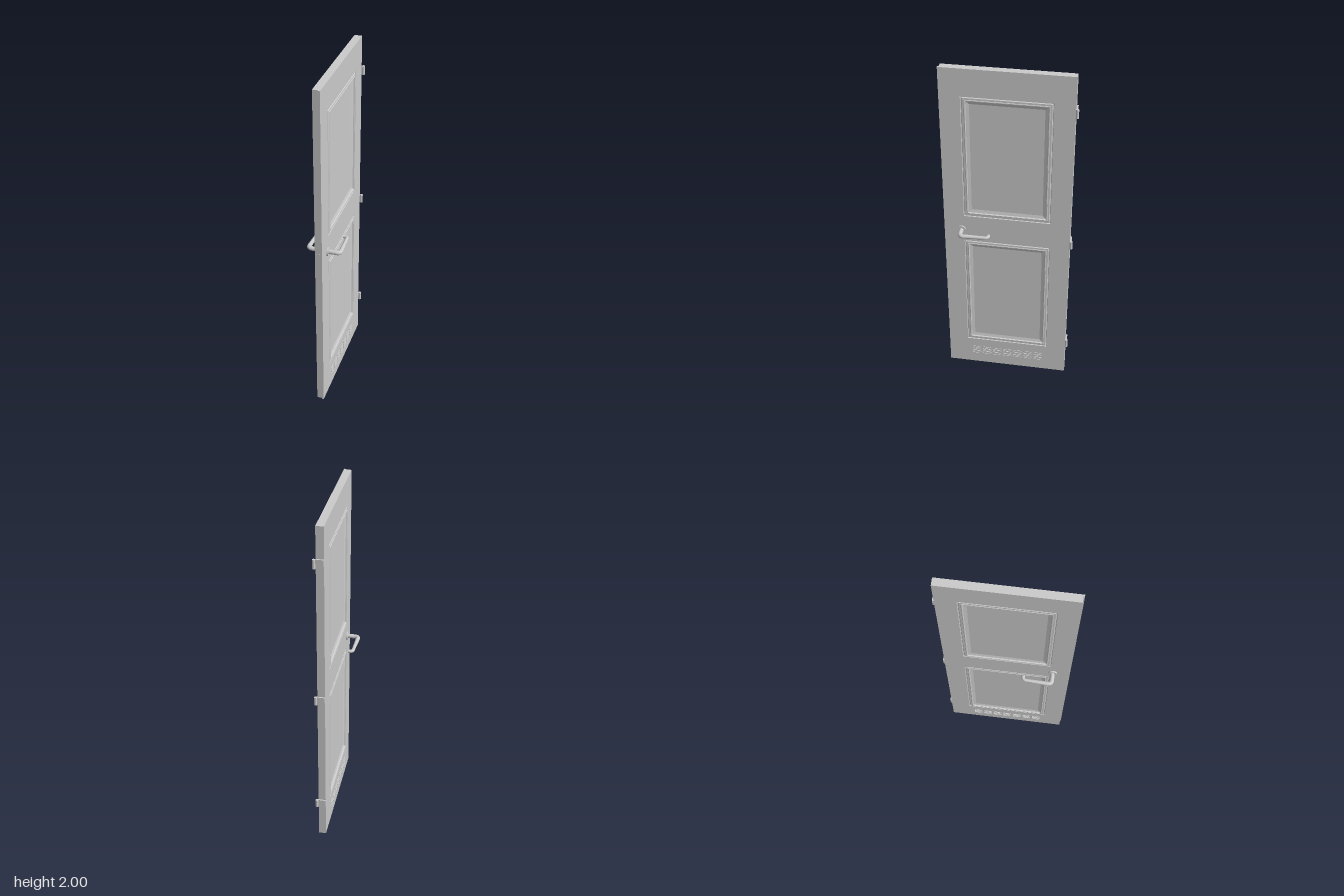
import * as THREE from 'three';

const H = 2, T = 0.042, Z0 = -0.35, Z1 = 0.357, ZC = 0.0065;
const PANEL_W = 0.488;
const PANELS = [[0.185, 0.934], [1.1, 1.845]]; // bottom and top of each panel
const smooth = new THREE.MeshStandardMaterial({ color: 0xcccccc });
const flat = new THREE.MeshStandardMaterial({ color: 0xcccccc, flatShading: true });

function add(parent, name, geometry, x = 0, y = 0, z = 0, material = flat) {
  const m = new THREE.Mesh(geometry, material);
  m.name = name;
  m.position.set(x, y, z);
  parent.add(m);
  return m;
}

function rectPath(P, x0, y0, x1, y1) {
  const p = new P();
  p.moveTo(x0, y0);
  p.lineTo(x1, y0);
  p.lineTo(x1, y1);
  p.lineTo(x0, y1);
  p.closePath();
  return p;
}

// Mitred rectangular moulding; profile is a list of [inset, height]
function mouldingGeometry(w, h, profile) {
  const pos = [];
  const ring = ([d, z]) => {
    const a = w / 2 - d, b = h / 2 - d;
    return [[-a, -b, z], [a, -b, z], [a, b, z], [-a, b, z]];
  };
  for (let k = 0; k < profile.length - 1; k++) {
    const o = ring(profile[k]), n = ring(profile[k + 1]);
    for (let i = 0; i < 4; i++) {
      const j = (i + 1) % 4;
      pos.push(...o[i], ...o[j], ...n[j], ...o[i], ...n[j], ...n[i]);
    }
  }
  const g = new THREE.BufferGeometry();
  g.setAttribute('position', new THREE.Float32BufferAttribute(pos, 3));
  g.computeVertexNormals();
  return g;
}

// Stadium-shaped raised rim of a ventilation slot
function slotGeometry(w, h) {
  const stadium = (P, w, h) => {
    const p = new P(), r = h / 2, a = w / 2 - r;
    p.absarc(a, 0, r, -Math.PI / 2, Math.PI / 2);
    p.absarc(-a, 0, r, Math.PI / 2, Math.PI * 1.5);
    p.closePath();
    return p;
  };
  const s = stadium(THREE.Shape, w, h);
  s.holes.push(stadium(THREE.Path, w - 0.006, h - 0.006));
  return new THREE.ExtrudeGeometry(s, { depth: 0.004, bevelEnabled: false, curveSegments: 6 });
}

// Bent lever, tapering towards its returned tip
function leverGeometry(side) {
  const v = (x, z) => new THREE.Vector3(side * x, 0, z);
  const path = new THREE.CurvePath();
  path.add(new THREE.LineCurve3(v(0.02, 0.265), v(0.068, 0.265)));
  path.add(new THREE.QuadraticBezierCurve3(v(0.068, 0.265), v(0.0905, 0.265), v(0.0895, 0.243)));
  path.add(new THREE.LineCurve3(v(0.0895, 0.243), v(0.0848, 0.122)));
  path.add(new THREE.QuadraticBezierCurve3(v(0.0848, 0.122), v(0.084, 0.105), v(0.07, 0.104)));
  path.add(new THREE.LineCurve3(v(0.07, 0.104), v(0.061, 0.104)));
  const N = 72, R = 16;
  const g = new THREE.TubeGeometry(path, N, 0.0125, R);
  const p = g.attributes.position, q = new THREE.Vector3();
  for (let i = 0; i <= N; i++) {
    const c = path.getPointAt(i / N);
    const k = 1 - 0.24 * THREE.MathUtils.smoothstep(i / N, 0.25, 0.85);
    for (let j = 0; j <= R; j++) {
      const n = i * (R + 1) + j;
      q.fromBufferAttribute(p, n).sub(c).multiplyScalar(k).add(c);
      p.setXYZ(n, q.x, q.y, q.z);
    }
  }
  return g;
}

export function createModel() {
  const model = new THREE.Group();
  model.name = 'door';
  const body = new THREE.Group();
  body.name = 'doorBody';
  body.position.x = -0.001;
  model.add(body);

  // Leaf with openings for the two panels
  const leafShape = rectPath(THREE.Shape, Z0, 0, Z1, H);
  for (const [a, b] of PANELS)
    leafShape.holes.push(rectPath(THREE.Path, ZC - PANEL_W / 2, a, ZC + PANEL_W / 2, b));
  const leaf = add(body, 'leaf', new THREE.ExtrudeGeometry(leafShape, { depth: T, bevelEnabled: false }), T / 2);
  leaf.rotation.y = -Math.PI / 2;

  // Rebate lip along the lock edge
  add(body, 'rebateLip', new THREE.BoxGeometry(0.011, H, 0.008), T / 2 - 0.0055, H / 2, Z1 + 0.003);

  // Mouldings, panels and vents, on both faces
  const profile = [[0, 0], [0.002, -0.005], [0.005, -0.005], [0.008, 0], [0.018, 0.0005],
    [0.02, 0.003], [0.024, 0.003], [0.027, -0.004], [0.045, -0.009]];
  const slot = slotGeometry(0.054, 0.017);
  for (const side of [1, -1]) {
    const face = new THREE.Group();
    face.name = side > 0 ? 'leftFace' : 'rightFace';
    face.position.set(side * T / 2, 0, ZC);
    face.rotation.y = side * Math.PI / 2;
    body.add(face);
    for (const [a, b] of PANELS) {
      add(face, 'moulding', mouldingGeometry(PANEL_W, b - a, profile), 0, (a + b) / 2, 0);
      add(face, 'panel', new THREE.PlaneGeometry(PANEL_W - 0.09, b - a - 0.09), 0, (a + b) / 2, -0.009);
    }
    for (let i = -3; i <= 3; i++)
      for (let j = -1; j <= 1; j++)
        add(face, 'ventSlot', slot, i * 0.0632, 0.0975 + j * 0.019, -0.001);
  }

  // Lever handles with round rosettes
  for (const side of [1, -1]) {
    const handle = new THREE.Group();
    handle.name = side > 0 ? 'leftHandle' : 'rightHandle';
    handle.position.y = 1.008;
    body.add(handle);
    const rose = add(handle, 'rosette', new THREE.CylinderGeometry(0.025, 0.025, 0.01, 32), side * 0.024, 0, 0.265, smooth);
    rose.rotation.z = Math.PI / 2;
    add(handle, 'lever', leverGeometry(side), 0, 0, 0, smooth);
    const cap = add(handle, 'leverTip', new THREE.CircleGeometry(0.0095, 16), side * 0.061, 0, 0.104, smooth);
    cap.rotation.y = -side * Math.PI / 2;
  }

  // Lock plate and latch on the narrow edge
  add(body, 'lockPlate', new THREE.BoxGeometry(0.02, 0.12, 0.002), -0.003, 0.985, Z1);
  add(body, 'latch', new THREE.BoxGeometry(0.01, 0.03, 0.004), -0.003, 1.008, Z1);

  // Hinges: leaf plate and knuckle
  for (const y of [0.24, 0.975, 1.8]) {
    const hinge = new THREE.Group();
    hinge.name = 'hinge';
    hinge.position.y = y;
    model.add(hinge);
    add(hinge, 'hingePlate', new THREE.BoxGeometry(0.048, 0.05, 0.008), 0.002, 0, -0.354);
    add(hinge, 'hingeKnuckle', new THREE.CylinderGeometry(0.008, 0.008, 0.05, 20), 0.028, 0, -0.358, smooth);
  }
  return model;
}
